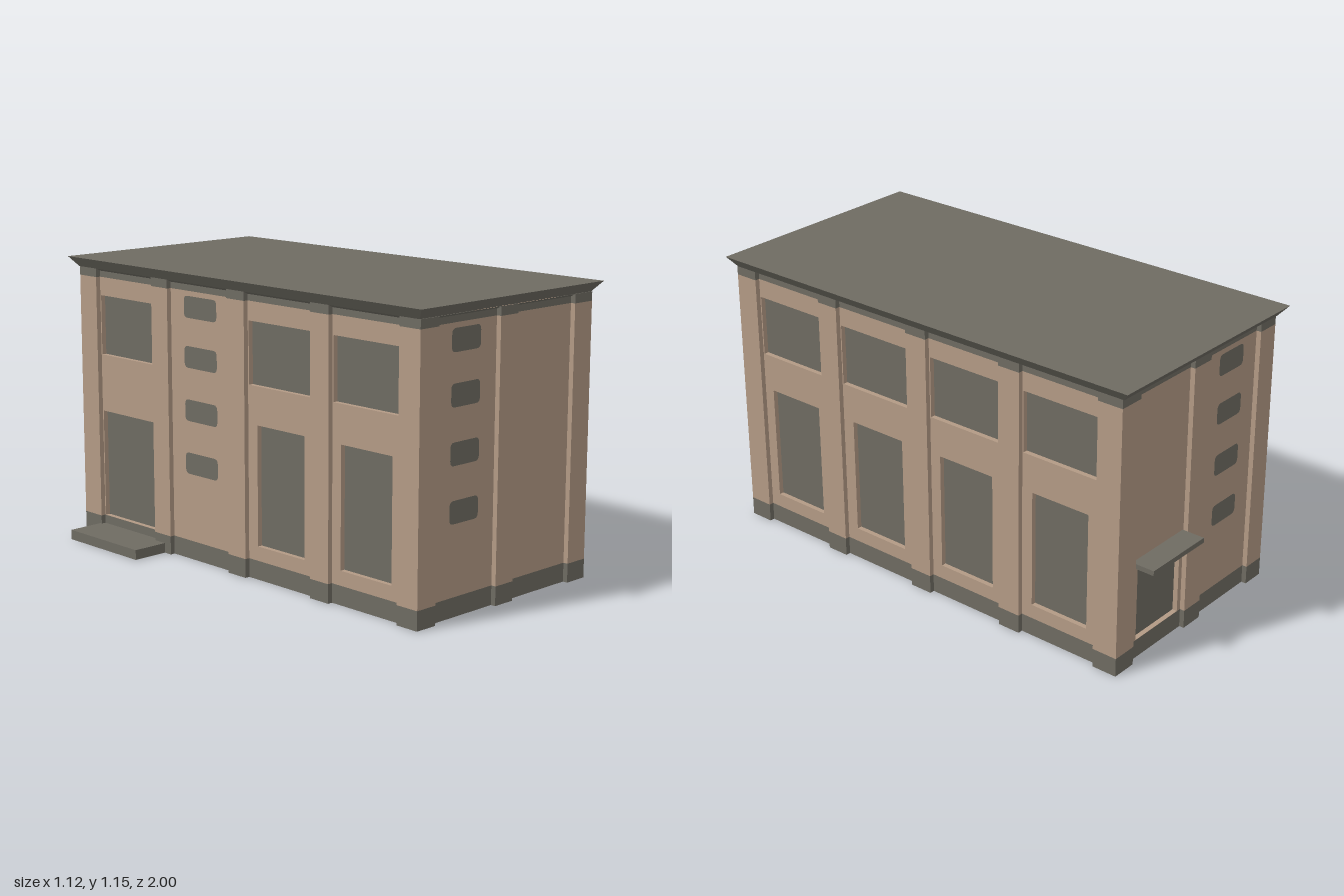
import * as THREE from 'three';
import { mergeGeometries } from 'three/addons/utils/BufferGeometryUtils.js';

const plaster = new THREE.MeshStandardMaterial({ color: 0xb39a85, side: THREE.DoubleSide });
plaster.name = 'tan plaster';
const stone = new THREE.MeshStandardMaterial({ color: 0x6e6b62, side: THREE.DoubleSide });
stone.name = 'grey stone';

const STEP = 0.02;                        // how far bays sit behind the pilasters
const REVEAL = 0.02;                      // how far windows sit behind the bays
const BASE = 0.075, BAND = 1.075, BAY_TOP = 1.1, TOP = 1.11;

// Four-cornered face, corners counter-clockwise seen from its front
function quad(a, b, c, d) {
  const g = new THREE.BufferGeometry();
  g.setAttribute('position', new THREE.Float32BufferAttribute([...a, ...b, ...c, ...d], 3));
  g.setAttribute('uv', new THREE.Float32BufferAttribute([0, 0, 1, 0, 1, 1, 0, 1], 2));
  g.setIndex([0, 1, 2, 0, 2, 3]);
  g.computeVertexNormals();
  return g;
}
const panel = (u0, u1, y0, y1, n) => quad([u0, y0, n], [u1, y0, n], [u1, y1, n], [u0, y1, n]);
const side = (u, n0, n1, y0, y1) => quad([u, y0, n0], [u, y0, n1], [u, y1, n1], [u, y1, n0]);

// Rectangle outline with rounded corners
function outline(C, { u0, u1, y0, y1, r }) {
  const s = new C();
  s.moveTo(u0 + r, y0);
  s.lineTo(u1 - r, y0); s.quadraticCurveTo(u1, y0, u1, y0 + r);
  s.lineTo(u1, y1 - r); s.quadraticCurveTo(u1, y1, u1 - r, y1);
  s.lineTo(u0 + r, y1); s.quadraticCurveTo(u0, y1, u0, y1 - r);
  s.lineTo(u0, y0 + r); s.quadraticCurveTo(u0, y0, u0 + r, y0);
  return s;
}

// Kinds of openings for a bay
const recess = (u0, u1, y0, y1) => ({ u0, u1, y0, y1, r: 0.004, depth: REVEAL });
const upper = (a, b) => recess(a + 0.005, b - 0.005, 0.755, 1.0);
const windows = (a, b) => [upper(a, b), recess((a + b) / 2 - 0.128, (a + b) / 2 + 0.128, 0.132, 0.605)];
const stairs = (c, w) => [0.39, 0.603, 0.815, 1.012].map(y =>
  ({ u0: c - w / 2, u1: c + w / 2, y0: y - 0.043, y1: y + 0.043, r: 0.02, depth: 0 }));

function addMesh(group, name, geos, material) {
  if (!geos.length) return;
  const m = new THREE.Mesh(geos.length > 1 ? mergeGeometries(geos) : geos[0], material);
  m.name = name;
  group.add(m);
}

// One facade, facing local +z at distance n, running from u0 to u1
function facade(name, angle, n, u0, u1, bays) {
  const g = new THREE.Group();
  g.name = name;
  g.rotation.y = angle;
  const pil = [], trim = [], wall = [], panes = [];
  const back = n - STEP;

  // pilasters fill the gaps between bays
  let left = u0;
  for (const b of [...bays, { a: u1, b: u1 }]) {
    for (const [list, y0, y1] of [[trim, 0, BASE], [pil, BASE, BAND], [trim, BAND, TOP]]) {
      list.push(panel(left, b.a, y0, y1, n));
      if (left > u0) list.push(side(left, back, n, y0, y1));
      if (b.a < u1) list.push(side(b.a, n, back, y0, y1));
    }
    left = b.b;
  }

  for (const { a, b, holes } of bays) {
    // plinth, cornice band and sloped soffit
    trim.push(panel(a, b, 0, BASE, back), panel(a, b, BAND, BAY_TOP, back));
    trim.push(quad([a, BAY_TOP, back], [b, BAY_TOP, back], [b, TOP, n], [a, TOP, n]));
    // wall with openings
    const shape = outline(THREE.Shape, { u0: a, u1: b, y0: BASE, y1: BAND, r: 0 });
    for (const h of holes) {
      shape.holes.push(outline(THREE.Path, h));
      const deep = back - h.depth;
      panes.push(new THREE.ShapeGeometry(outline(THREE.Shape, h), 4).translate(0, 0, deep));
      if (h.depth > 0) {
        wall.push(side(h.u0, back, deep, h.y0, h.y1), side(h.u1, deep, back, h.y0, h.y1));
        for (const [y, p, q] of [[h.y0, back, deep], [h.y1, deep, back]])
          wall.push(quad([h.u0, y, p], [h.u1, y, p], [h.u1, y, q], [h.u0, y, q]));
      }
    }
    wall.push(new THREE.ShapeGeometry(shape, 4).translate(0, 0, back));
  }
  addMesh(g, 'pilasters', pil, plaster);
  addMesh(g, 'bayWalls', wall, plaster);
  addMesh(g, 'plinthAndCornice', trim, stone);
  addMesh(g, 'windowPanes', panes, stone);
  return g;
}

function slab(name, x0, x1, y0, y1, z0, z1) {
  const m = new THREE.Mesh(new THREE.BoxGeometry(x1 - x0, y1 - y0, z1 - z0), stone);
  m.position.set((x0 + x1) / 2, (y0 + y1) / 2, (z0 + z1) / 2);
  m.name = name;
  return m;
}

export function createModel() {
  const model = new THREE.Group();
  model.name = 'building';
  const bay = (a, b, holes) => ({ a, b, holes });

  model.add(facade('frontFacade', 0, 0.97, -0.41, 0.53, [
    bay(-0.315, 0.01, stairs(-0.15, 0.153)),
    bay(0.105, 0.43, []),
  ]));
  model.add(facade('leftFacade', Math.PI / 2, 0.53, -0.97, 0.925,
    [[-0.87, -0.525], [-0.43, -0.073], [0.025, 0.373], [0.47, 0.82]]
      .map(([a, b]) => bay(a, b, windows(a, b)))));
  model.add(facade('backFacade', Math.PI, 0.925, -0.53, 0.41, [
    bay(-0.425, -0.105, [recess(-0.385, -0.125, BASE + 0.001, 0.38)]),
    bay(-0.005, 0.315, stairs(0.157, 0.153)),
  ]));
  model.add(facade('rightFacade', -Math.PI / 2, 0.41, -0.925, 0.97, [
    bay(-0.82, -0.47, [upper(-0.82, -0.47), recess(-0.815, -0.475, BASE + 0.001, 0.52)]),
    bay(-0.373, -0.025, stairs(-0.2, 0.19)),
    bay(0.073, 0.43, windows(0.073, 0.43)),
    bay(0.525, 0.87, windows(0.525, 0.87)),
  ]));

  // flared flat roof
  const roof = slab('roof', -0.44, 0.56, TOP, 1.15, -0.965, 1.0);
  const p = roof.geometry.attributes.position;
  for (let i = 0; i < p.count; i++) {
    if (p.getY(i) < 0) {
      p.setX(i, p.getX(i) - Math.sign(p.getX(i)) * 0.03);
      p.setZ(i, p.getZ(i) - Math.sign(p.getZ(i)) * 0.035);
    }
  }
  roof.geometry.computeVertexNormals();
  model.add(roof);

  // entrance step and back door canopy
  model.add(slab('porchStep', -0.56, -0.37, 0, 0.04, -0.83, -0.41));
  model.add(slab('doorCanopy', 0.11, 0.42, 0.4, 0.42, -1.0, -0.905));
  return model;
}
